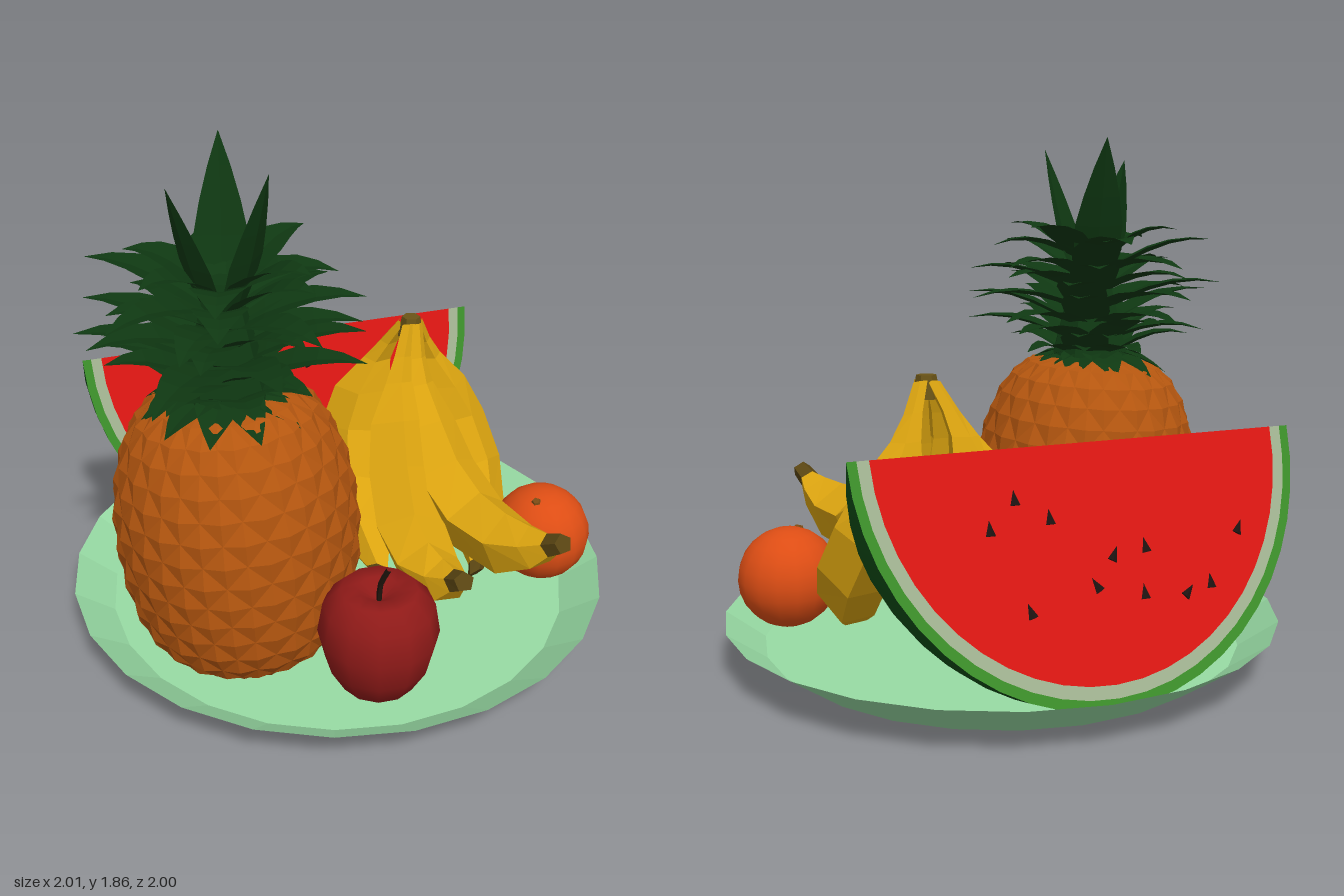
import * as THREE from 'three';

const V = (x, y, z) => new THREE.Vector3(x, y, z);
const mat = (color, flat = true, side = THREE.FrontSide) =>
  new THREE.MeshStandardMaterial({ color, flatShading: flat, side });

function add(parent, name, geometry, material) {
  const mesh = new THREE.Mesh(geometry, material);
  mesh.name = name;
  parent.add(mesh);
  return mesh;
}

function group(parent, name) {
  const g = new THREE.Group();
  g.name = name;
  parent.add(g);
  return g;
}

function fromTriangles(points) {
  const g = new THREE.BufferGeometry().setFromPoints(points);
  g.computeVertexNormals();
  return g;
}

// Skin joining successive cross-sections
function loft(rings, closed) {
  const tris = [];
  for (let j = 0; j < rings.length - 1; j++) {
    const p = rings[j], q = rings[j + 1], n = p.length;
    for (let i = 0; i < (closed ? n : n - 1); i++) {
      const k = (i + 1) % n;
      tris.push(p[i], p[k], q[k], p[i], q[k], q[i]);
    }
  }
  return fromTriangles(tris);
}

const lathe = (pts, n) => new THREE.LatheGeometry(pts.map(([r, y]) => new THREE.Vector2(r, y)), n);

// Pineapple skin: staggered rings of diamonds, each raised to a low point
function pineappleBody() {
  const rows = 20, cols = 18;
  const profile = new THREE.CatmullRomCurve3([
    [0.01, 0.026], [0.13, 0.021], [0.24, 0.045], [0.355, 0.17], [0.405, 0.35], [0.42, 0.57],
    [0.4, 0.75], [0.335, 0.93], [0.25, 1.03], [0.12, 1.06], [0.01, 1.065],
  ].map(([r, y]) => V(r, y, 0))).getSpacedPoints(rows);
  const at = (j, a, bump = 0) => {
    const { x: r, y } = profile[j], t = a / cols * Math.PI * 2;
    return V((r + bump) * Math.cos(t), y, (r + bump) * Math.sin(t));
  };
  const tris = [];
  for (let j = 1; j < rows; j++) for (let i = 0; i < cols; i++) {
    const a = i + 0.5 * (j % 2);
    const B = at(j - 1, a + 0.5), T = at(j + 1, a + 0.5), R = at(j, a), L = at(j, a + 1);
    const C = at(j, a + 0.5, 0.012);
    tris.push(B, R, C, R, T, C, T, L, C, L, B, C);
  }
  return fromTriangles(tris);
}

// Pointed leaf with a keel, arched upward by bend
function leaf(base, tip, bend, width) {
  const dir = tip.clone().sub(base).normalize();
  const side = V(dir.z, 0, -dir.x).normalize();
  const keel = dir.clone().cross(side);
  if (keel.y > 0) keel.negate();
  const rings = [0.6, 0.95, 1, 0.75, 0.42, 0.01].map((w, i) => {
    const t = i / 5, h = w * width / 2;
    const c = base.clone().lerp(tip, t);
    c.y += bend * 4 * t * (1 - t);
    return [c.clone().addScaledVector(side, -h), c.clone().addScaledVector(keel, h * 0.2),
      c.clone().addScaledVector(side, h)];
  });
  return loft(rings, false);
}

function pineapple(parent) {
  const g = group(parent, 'pineapple');
  g.position.set(-0.14, 0, 0.45);
  // Body leans slightly, so one edge of its base dips lowest
  const body = add(g, 'pineappleBody', pineappleBody().translate(0, -0.55, 0), mat(0xb4560f));
  body.position.y = 0.55;
  body.rotation.z = 0.07;
  const green = mat(0x0f3812, true, THREE.DoubleSide);
  const crown = group(g, 'crown');
  crown.position.set(-0.015, 0, 0.015);
  add(crown, 'crownCore', new THREE.CylinderGeometry(0.05, 0.16, 0.42, 8).translate(0, 1.25, 0), green);
  const polar = (r, y, a) => V(r * Math.cos(a), y, r * Math.sin(a));
  // Small leaves lying on the shoulder
  for (let i = 0; i < 11; i++) {
    const a = i / 11 * Math.PI * 2;
    add(crown, 'shoulderLeaf', leaf(polar(0.06, 1.09, a), polar(0.29, 1.0, a), 0.025, 0.15), green);
  }
  // Spreading layers
  const reach = [0.36, 0.46, 0.51, 0.48, 0.46, 0.44, 0.36];
  reach.forEach((len, k) => {
    for (let i = 0; i < 7; i++) {
      const a = (i + k * 0.382) / 7 * Math.PI * 2 + 0.2 * Math.sin(i * 5 + k * 3);
      const y = 1.05 + k * 0.065, r = len * (0.94 + 0.1 * Math.sin(i * 7 + k * 4));
      add(crown, 'crownLeaf', leaf(polar(0.05, y, a), polar(r, y + 0.08 + 0.05 * Math.sin(i * 3 + k), a),
        0.05, 0.18), green);
    }
  });
  // Upright centre leaves
  for (const [x, y, z] of [[-0.145, 1.87, -0.215], [-0.065, 1.8, 0.175], [0.195, 1.84, 0.005]])
    add(crown, 'uprightLeaf', leaf(V(x * 0.2, 1.35, z * 0.2), V(x, y, z), 0, 0.18), green);
}

// Wedge of melon, sharp edge up; seeds given as x, z seen from above
function melon(parent) {
  const alpha = 0.305, lean = 0.025, yaw = 0.863;
  const g = group(parent, 'watermelonSlice');
  g.position.set(-0.455, 0.88, -0.335);
  g.rotation.set(lean, yaw, 0, 'YXZ');
  const L = 0.79, D = 0.845;
  add(g, 'melonSkin', new THREE.SphereGeometry(1, 4, 24, -alpha, 2 * alpha)
    .rotateZ(Math.PI / 2).scale(L, D, D), mat(0x0f4d16, false));
  const bands = [['flesh', 0, 0.91, 0xdd1612], ['paleRind', 0.91, 0.96, 0xa3b592], ['greenRind', 0.96, 1, 0x3c8f2a]];
  const faces = [0, Math.PI].map((turn) => {
    const half = group(g, 'cutFace');
    half.rotation.y = turn;
    const face = group(half, 'cutFacePlane');
    face.rotation.x = -alpha;
    for (const [name, a, b, color] of bands)
      add(face, name, new THREE.RingGeometry(a, b, 24, 1, Math.PI, Math.PI).scale(L, D, 1), mat(color));
    return face;
  });
  const seeds = [[-0.41, -0.64], [-0.28, -0.66], [-0.14, -0.67], [-0.32, -0.57], [-0.41, -0.5], [-0.55, -0.45],
    [-0.58, -0.37], [-0.67, -0.33], [-0.65, -0.28], [-0.78, -0.21], [-0.83, -0.14], [-0.88, 0],
    [-0.12, -0.6], [-0.23, -0.5], [-0.13, -0.47], [-0.22, -0.4], [-0.37, -0.38], [-0.3, -0.24], [-0.38, -0.17],
    [-0.4, -0.24], [-0.54, -0.22], [-0.53, -0.1], [-0.67, 0.03], [-0.55, 0.02], [-0.4, -0.1]];
  const seedGeo = new THREE.ConeGeometry(0.018, 0.05, 5).scale(1, 1, 0.5);
  const dark = mat(0x1c1210);
  seeds.forEach(([x, z], i) => {
    const p = V(x, 0, z).sub(g.position).setY(0).applyAxisAngle(V(0, 1, 0), -yaw);
    const front = p.z > 0;
    const s = add(faces[front ? 0 : 1], 'seed', seedGeo, dark);
    s.position.set(front ? p.x : -p.x, -Math.abs(p.z) / Math.sin(alpha + (front ? -lean : lean)), 0.002);
    s.rotation.z = 0.5 * Math.sin(i * 4) - s.position.x;
  });
}

// Five-sided banana along a curve, with a dark blunt tip
function banana(parent, points, yellow, brown) {
  const g = group(parent, 'banana');
  const curve = new THREE.CatmullRomCurve3(points.map((p) => V(...p)));
  const N = V(0, 1, 0).cross(V(...points.at(-1)).sub(V(...points[0]))).normalize();
  const ring = ([t, r]) => {
    const c = curve.getPointAt(t), B = curve.getTangentAt(t).cross(N).normalize();
    return Array.from({ length: 5 }, (_, i) => {
      const a = i / 5 * Math.PI * 2 + Math.PI / 2;
      return c.clone().addScaledVector(N, r * Math.cos(a)).addScaledVector(B, r * Math.sin(a));
    });
  };
  add(g, 'bananaSkin', loft([[0, 0.025], [0.1, 0.034], [0.18, 0.054], [0.3, 0.112], [0.45, 0.13], [0.62, 0.13],
    [0.78, 0.115], [0.89, 0.077], [0.95, 0.042]].map(ring), true), yellow);
  add(g, 'bananaTip', loft([[0.95, 0.042], [1, 0.036], [1, 0]].map(ring), true), brown);
}

function bananas(parent) {
  const g = group(parent, 'bananaBunch');
  const yellow = mat(0xdea610), brown = mat(0x5a4512);
  const paths = [
    [[0.13, 1.05, -0.35], [0.18, 0.85, -0.29], [0.3, 0.61, -0.2], [0.5, 0.46, -0.11], [0.72, 0.47, 0], [0.92, 0.59, 0.07]],
    [[0.11, 1.05, -0.33], [0.13, 0.84, -0.22], [0.22, 0.58, -0.08], [0.35, 0.4, 0.06], [0.5, 0.37, 0.18], [0.66, 0.47, 0.28]],
    [[0.11, 1.05, -0.39], [0.11, 0.87, -0.49], [0.17, 0.64, -0.56], [0.3, 0.42, -0.52], [0.42, 0.24, -0.38], [0.49, 0.14, -0.21]],
    [[0.08, 1.05, -0.36], [-0.04, 0.86, -0.36], [-0.1, 0.64, -0.31], [-0.05, 0.4, -0.2], [0.07, 0.24, -0.08], [0.22, 0.15, 0.03]],
  ];
  for (const p of paths) banana(g, p, yellow, brown);
  add(g, 'bunchStem', new THREE.CylinderGeometry(0.034, 0.048, 0.08, 6).translate(0.105, 1.03, -0.36), mat(0x6b5416));
}

export function createModel() {
  const model = new THREE.Group();
  model.name = 'fruitPlate';

  // Plate with a raised inner floor
  add(model, 'plate', lathe([[0, 0.025], [0.785, 0.025], [1, 0.175], [0.86, 0.078], [0, 0.078]], 24), mat(0x98dba4));
  pineapple(model);
  melon(model);
  bananas(model);

  // Apple with a leaning stem
  const apple = group(model, 'apple');
  apple.position.set(0.453, 0, 0.495);
  add(apple, 'appleBody', lathe([[0, 0.11], [0.07, 0.09], [0.13, 0.13], [0.18, 0.22], [0.206, 0.33], [0.188, 0.44],
    [0.13, 0.5], [0.07, 0.5], [0, 0.45]], 12), mat(0x8f1a18, false));
  const stem = new THREE.CatmullRomCurve3([V(0, 0.45, 0), V(0.005, 0.52, 0), V(0.035, 0.59, 0)]);
  add(apple, 'appleStem', new THREE.TubeGeometry(stem, 4, 0.01, 5), mat(0x1e140c));

  // Orange with its small button
  const orange = group(model, 'orange');
  orange.position.set(0.673, 0.3, -0.38);
  add(orange, 'orangeBody', new THREE.SphereGeometry(0.182, 16, 12), mat(0xdd4d14, false));
  add(orange, 'orangeButton', new THREE.CylinderGeometry(0.014, 0.02, 0.012, 5).translate(0, 0.182, 0), mat(0x7a4a14))
    .rotation.x = 0.4;

  return model;
}
